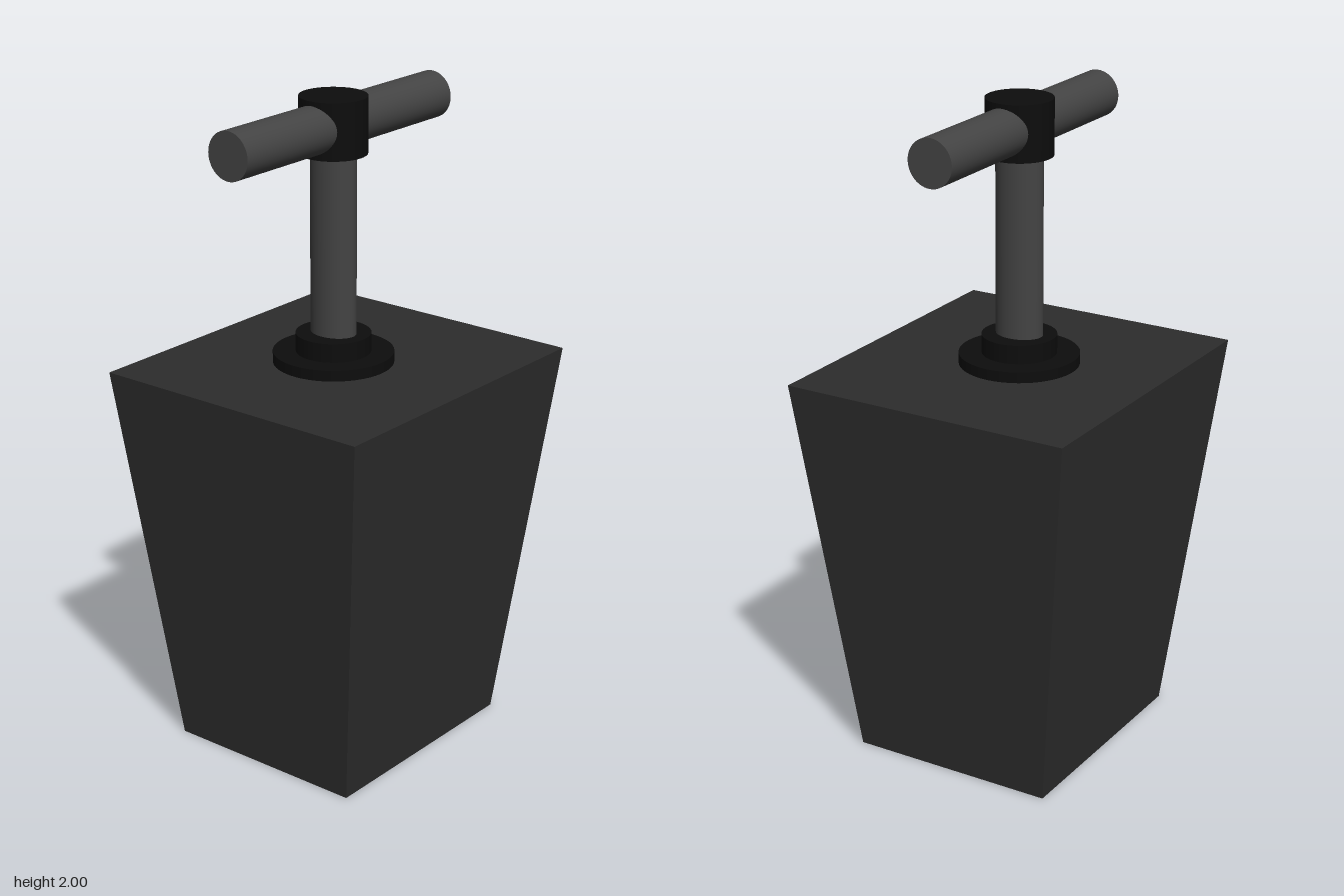
import * as THREE from 'three';

export function createModel() {
  const model = new THREE.Group();
  const paint = (color, flatShading = false) => new THREE.MeshStandardMaterial({ color, flatShading });
  const casing = paint(0x2d2d2d, true);
  const steel = paint(0x444444);
  const black = paint(0x0d0d0d);

  // Tapered box body, narrower at the base
  const geo = new THREE.BoxGeometry(1.006, 1.2, 0.914);
  const pos = geo.attributes.position;
  for (let i = 0; i < pos.count; i++) {
    if (pos.getY(i) < 0) {
      pos.setX(i, Math.sign(pos.getX(i)) * 0.368);
      pos.setZ(i, Math.sign(pos.getZ(i)) * 0.322);
    }
  }
  geo.computeVertexNormals();
  const body = new THREE.Mesh(geo, casing);
  body.name = 'body';
  body.position.y = 0.6;
  model.add(body);

  // Plunger assembly, slightly off the body's centre
  const plunger = new THREE.Group();
  plunger.name = 'plunger';
  plunger.position.set(-0.012, 0, -0.012);
  model.add(plunger);

  const post = (name, radius, bottom, top, material) => {
    const mesh = new THREE.Mesh(new THREE.CylinderGeometry(radius, radius, top - bottom, 48), material);
    mesh.name = name;
    mesh.position.y = (bottom + top) / 2;
    plunger.add(mesh);
    return mesh;
  };
  post('flange', 0.18, 1.2, 1.233, black);
  post('collar', 0.112, 1.233, 1.29, black);
  post('hub', 0.1, 1.832, 2, black);

  // Shaft has an oval section
  post('shaft', 0.074, 1.28, 1.84, steel).scale.x = 0.77;

  // Crossbar handle through the hub
  const handle = post('handle', 0.071, -0.461, 0.461, steel);
  handle.rotation.z = Math.PI / 2;
  handle.position.set(0.007, 1.916, 0);

  return model;
}
